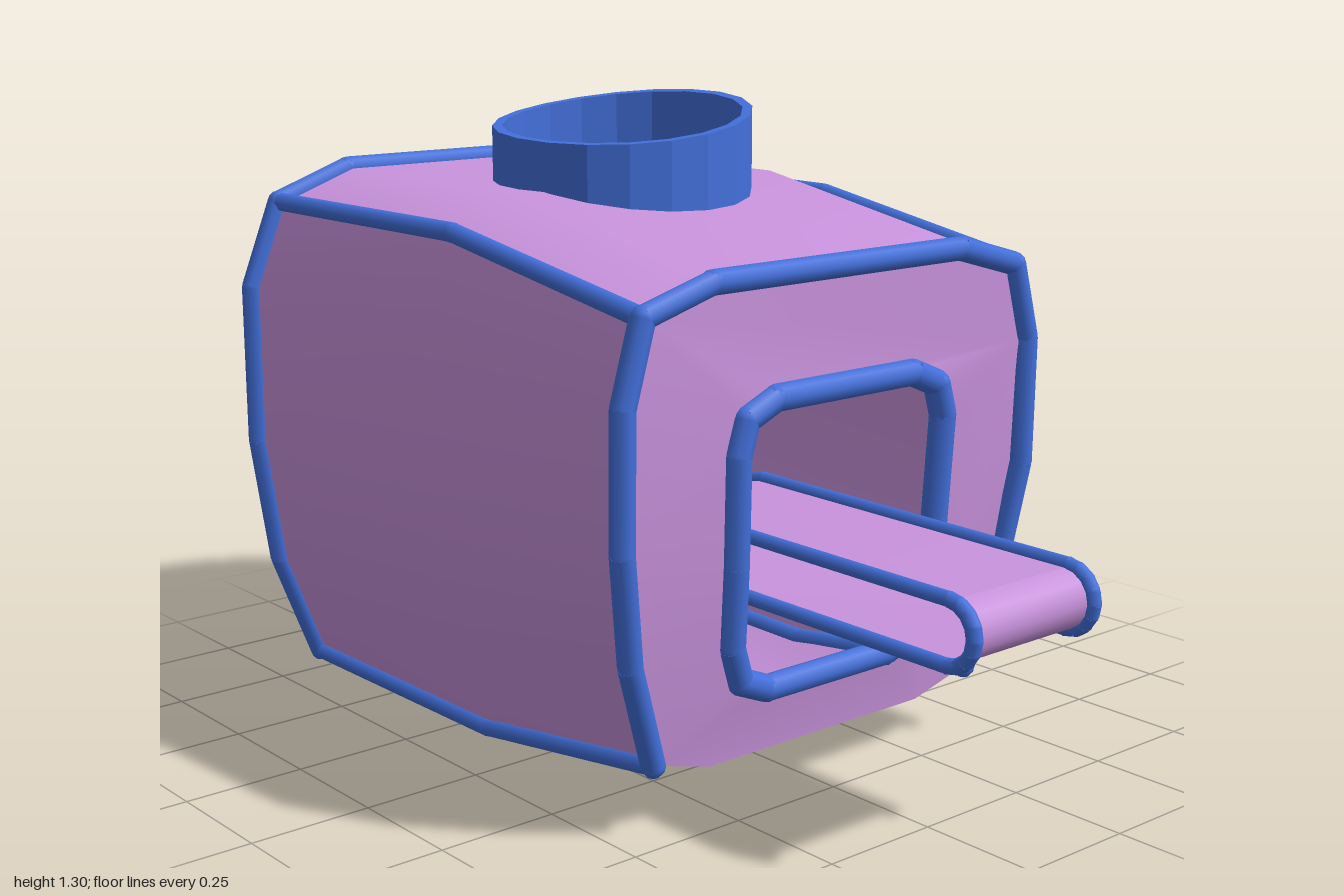
import * as THREE from 'three';

const mat = (name, color) => new THREE.MeshStandardMaterial({ name, color, side: THREE.DoubleSide });

export function createModel() {
  const pink = mat('pink cloth', 0xc993dd);
  const blue = mat('blue piping', 0x4370dc);
  const grey = mat('grey panel', 0xb4b4b4);
  const mesh = mat('grey netting', 0x948d82);
  const root = new THREE.Group();
  const add = (name, geo, material, parent = root) => {
    const m = new THREE.Mesh(geo, material);
    m.name = name;
    parent.add(m);
    return m;
  };
  const V = (x, y, z) => new THREE.Vector3(x, y, z);

  // Half cross-sections from the top round to the bottom on the +x side
  const frontHalf = [[0.32, 1.03], [0.48, 0.985], [0.525, 0.83], [0.525, 0.57], [0.49, 0.35], [0.42, 0.14], [0.28, 0.1]];
  const backHalf = [[0.33, 1.135], [0.5, 1.075], [0.57, 0.9], [0.57, 0.57], [0.53, 0.3], [0.44, 0.07], [0.26, 0]];
  const midHalf = backHalf.map(([x, y], i) => [x * 0.55 + frontHalf[i][0] * 0.45, y]);
  const frontZ = y => 0.5 - 0.1 * Math.max(0, 0.6 - y);
  const full = half => [...half, ...half.map(([x, y]) => [-x, y]).reverse()];
  const section = (half, z) => full(half).map(([x, y]) => V(x, y, z === null ? frontZ(y) : z));
  const rows = [section(frontHalf, null), section(midHalf, -0.05), section(backHalf, -0.68)];

  // Surface through rows of points
  function loft(lines) {
    const n = lines[0].length, pos = [], idx = [];
    lines.forEach(l => l.forEach(p => pos.push(p.x, p.y, p.z)));
    for (let r = 0; r < lines.length - 1; r++)
      for (let i = 0; i < n - 1; i++) {
        const a = r * n + i, b = a + 1, c = a + n, d = c + 1;
        idx.push(a, c, b, b, c, d);
      }
    const g = new THREE.BufferGeometry();
    g.setAttribute('position', new THREE.Float32BufferAttribute(pos, 3));
    g.setIndex(idx);
    g.computeVertexNormals();
    return g;
  }

  // Four cloth panels between the corner seams (1, 5, 8 and 12)
  const panels = { leftPanel: [1, 2, 3, 4, 5], bottomPanel: [5, 6, 7, 8], rightPanel: [8, 9, 10, 11, 12], topPanel: [12, 13, 0, 1] };
  for (const [name, ids] of Object.entries(panels))
    add(name, loft(rows.map(r => ids.map(i => r[i]))), pink);

  // Front panel with window opening
  const win = [[0.18, 0.805], [0.25, 0.775], [0.27, 0.71], [0.265, 0.5], [0.258, 0.34], [0.23, 0.265], [0.16, 0.235]];
  const shapeOf = pts => new THREE.Shape(pts.map(([x, y]) => new THREE.Vector2(x, y)));
  const windowZ = y => frontZ(y) + 0.012;
  const frontShape = shapeOf(full(frontHalf));
  frontShape.holes.push(shapeOf(full(win)));
  const frontGeo = new THREE.ShapeGeometry(frontShape);
  const fp = frontGeo.attributes.position;
  for (let i = 0; i < fp.count; i++) {
    const x = fp.getX(i), y = fp.getY(i);
    const inner = Math.abs(x) < 0.275 && y > 0.2 && y < 0.85;
    fp.setZ(i, inner ? windowZ(y) : frontZ(y));
  }
  frontGeo.computeVertexNormals();
  add('frontPanel', frontGeo, pink);

  // Bulging back panel
  const ring = (s, z) => {
    const pts = rows[2].map(p => V(p.x * s, 0.57 + (p.y - 0.57) * s, z));
    return [...pts, pts[0].clone()];
  };
  add('backPanel', loft([ring(1, -0.68), ring(0.8, -0.75), ring(0.001, -0.752)]), pink);

  // Piping: faceted rods joined by small balls
  function piping(name, pts, r, closed = false) {
    const g = new THREE.Group();
    g.name = name;
    root.add(g);
    const n = pts.length;
    pts.forEach((p, i) => {
      add('joint', new THREE.SphereGeometry(r, 8, 6), blue, g).position.copy(p);
      if (i === n - 1 && !closed) return;
      const q = pts[(i + 1) % n], d = q.clone().sub(p);
      const rod = add('rod', new THREE.CylinderGeometry(r, r, d.length(), 8), blue, g);
      rod.position.copy(p).add(q).multiplyScalar(0.5);
      rod.quaternion.setFromUnitVectors(V(0, 1, 0), d.normalize());
    });
  }
  const hoop = [8, 9, 10, 11, 12, 13, 0, 1, 2, 3, 4, 5];
  piping('frontPiping', hoop.map(i => rows[0][i]), 0.024);
  piping('backPiping', hoop.map(i => rows[2][i]), 0.024);
  for (const i of [1, 5, 8, 12]) piping('seamPiping', rows.map(r => r[i]), 0.02);
  piping('windowFrame', full(win).map(([x, y]) => V(x, y, windowZ(y))), 0.027, true);

  // Chimney with an uneven rim
  const chimney = new THREE.Group();
  chimney.name = 'chimney';
  chimney.position.set(-0.02, 0, -0.12);
  root.add(chimney);
  const wall = [[0.265, 0], [0.265, 1], [0.245, 1], [0.245, 0]].map(([r, y]) => new THREE.Vector2(r, y));
  const wallGeo = new THREE.LatheGeometry(wall, 20).toNonIndexed();
  const wp = wallGeo.attributes.position;
  for (let i = 0; i < wp.count; i++) {
    const u = wp.getX(i) / 0.265, v = wp.getZ(i) / 0.265;
    const rim = 1.26 + 0.033 * u - 0.014 * v + 0.008 * u * u;
    wp.setY(i, wp.getY(i) > 0.5 ? rim : 1.05);
  }
  wallGeo.computeVertexNormals();
  add('chimneyWall', wallGeo, blue, chimney);

  // Netting disc with square openings
  const disc = new THREE.Shape().absarc(0, 0, 0.25, 0, Math.PI * 2);
  for (let i = -2; i <= 2; i++)
    for (let j = -2; j <= 2; j++) {
      const x = i * 0.085 + 0.02, y = j * 0.085, h = 0.025;
      if (Math.hypot(Math.abs(x) + h, Math.abs(y) + h) > 0.247) continue;
      disc.holes.push(shapeOf([[x - h, y - h], [x - h, y + h], [x + h, y + h], [x + h, y - h]]));
    }
  const net = add('chimneyNetting', new THREE.ShapeGeometry(disc, 10), mesh, chimney);
  net.rotation.x = -Math.PI / 2 - 0.1;
  net.position.y = 1.195;

  // Arched entrance tunnel, its rim and the closed flap
  const arch = (w, y0) => new THREE.Shape().moveTo(-w, y0).lineTo(w, y0).lineTo(w, 0.69)
    .absarc(0, 0.69, w, 0, Math.PI, false).lineTo(-w, y0);
  function archFrame(name, w, y0, wIn, yIn, z, depth, material) {
    const s = arch(w, y0);
    s.holes.push(arch(wIn, yIn));
    add(name, new THREE.ExtrudeGeometry(s, { depth, bevelEnabled: false, curveSegments: 10 }), material).position.z = z;
  }
  archFrame('tunnel', 0.212, 0.288, 0.206, 0.294, -0.99, 0.245, pink);
  archFrame('tunnelRim', 0.252, 0.248, 0.206, 0.294, -1, 0.013, blue);
  add('doorFlap', new THREE.ShapeGeometry(arch(0.21, 0.29), 10), grey).position.z = -0.744;

  // Latch on the tunnel wall
  const latch = new THREE.Group();
  latch.name = 'latch';
  latch.position.set(-0.217, 0.57, -0.87);
  root.add(latch);
  add('latchPlate', new THREE.BoxGeometry(0.01, 0.14, 0.15), mesh, latch);
  add('latchStrap', new THREE.BoxGeometry(0.022, 0.03, 0.1), pink, latch);
  const pin = add('latchPin', new THREE.CylinderGeometry(0.007, 0.007, 0.05, 8), mesh, latch);
  pin.rotation.z = Math.PI / 2;
  pin.position.set(-0.03, 0, 0.03);
  add('latchKnob', new THREE.SphereGeometry(0.012, 8, 6), mesh, latch).position.set(-0.055, 0, 0.03);

  // Two slanted vent tubes at the back
  for (const x of [-0.19, 0.18]) {
    const vent = add('ventTube', new THREE.CylinderGeometry(0.062, 0.062, 0.13, 14, 1, true), blue);
    vent.position.set(x, 1.022, -0.775);
    vent.rotation.x = -1.08;
  }

  // Tray: cloth wrapped over two long loops
  const loop = (r, x) => {
    const pts = [];
    for (const [zc, a0] of [[0.925, Math.PI / 2], [0.12, -Math.PI / 2]])
      for (let i = 0; i <= 8; i++) {
        const a = a0 - (i / 8) * Math.PI;
        pts.push(V(x, 0.46 + r * Math.sin(a), zc + r * Math.cos(a)));
      }
    return [...pts, pts[0].clone()];
  };
  add('trayCloth', loft([loop(0.057, -0.15), loop(0.057, 0.15)]), pink);
  for (const x of [-0.155, 0.16]) piping('trayLoop', loop(0.06, x).slice(0, -1), 0.015, true);

  return root;
}
